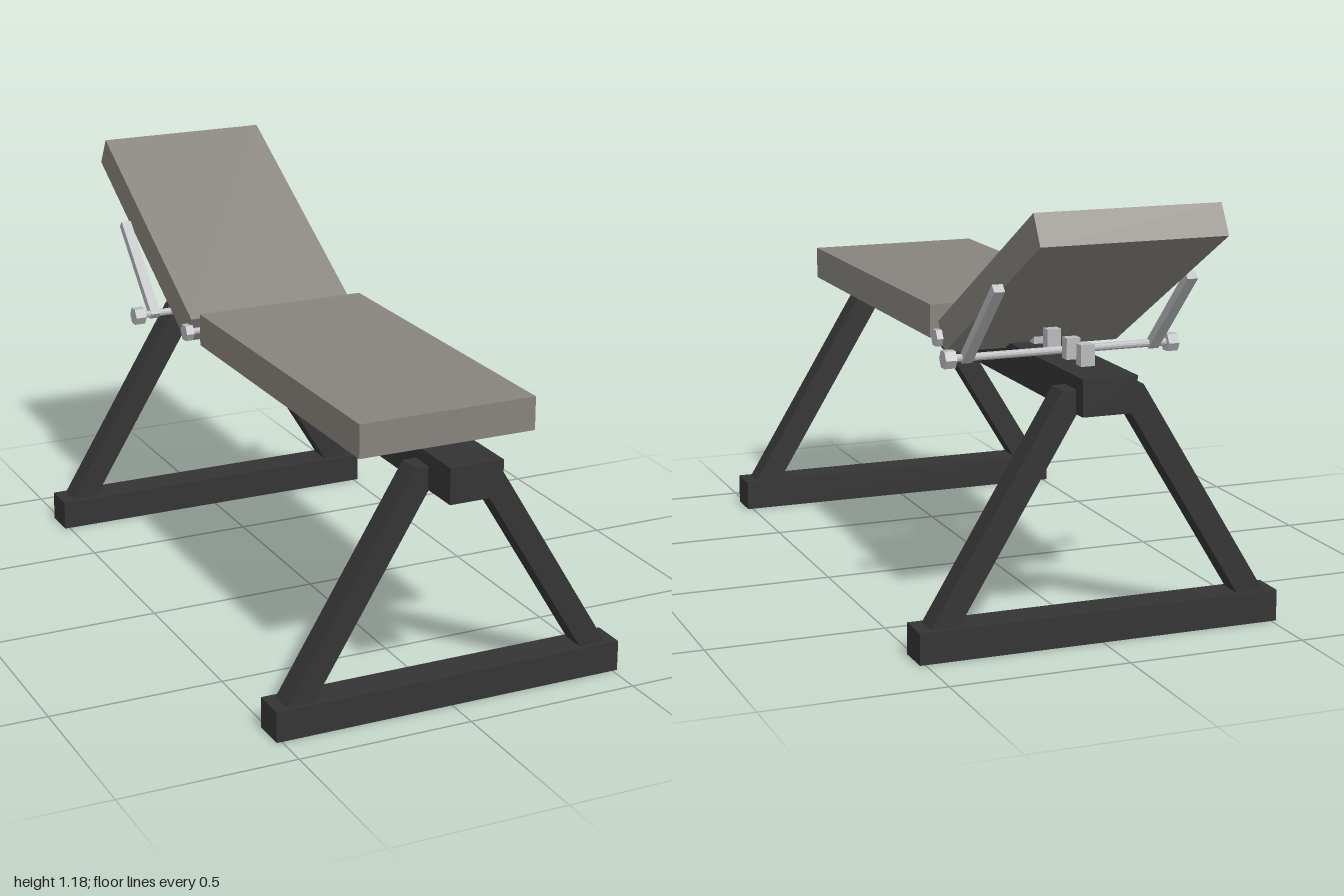
import * as THREE from 'three';

export function createModel() {
  const model = new THREE.Group();
  model.name = 'adjustableBench';

  const mat = (name, color) => {
    const m = new THREE.MeshStandardMaterial({ color });
    m.name = name;
    return m;
  };
  const frame = mat('blackFrame', 0x343434);
  const padding = mat('greyPadding', 0x87837d);
  const metal = mat('lightMetal', 0xb9babc);
  metal.flatShading = true;

  const add = (name, geometry, material, x = 0, y = 0, z = 0) => {
    const mesh = new THREE.Mesh(geometry, material);
    mesh.name = name;
    mesh.position.set(x, y, z);
    model.add(mesh);
    return mesh;
  };
  const box = (name, material, w, h, d, x, y, z) =>
    add(name, new THREE.BoxGeometry(w, h, d), material, x, y, z);
  // Cylinder lying along x
  const bar = (name, radius, length, sides, x, y, z) =>
    add(name, new THREE.CylinderGeometry(radius, radius, length, sides).rotateZ(Math.PI / 2), metal, x, y, z);

  // Main beam
  box('mainBeam', frame, 0.154, 0.1, 1.855, 0, 0.675, 0.0725);

  // Two A-shaped stands: foot bar and a mirrored pair of slanted legs
  const legDepth = 0.07;
  for (const [end, z] of [['front', 0.845], ['rear', -0.775]]) {
    box(end + 'Foot', frame, 1.03, 0.087, 0.1, 0, 0.0435, z);
    for (const side of [1, -1]) {
      const shape = new THREE.Shape(
        [[0.405, 0.08], [0.484, 0.08], [0.115, 0.69], [0.074, 0.69], [0.074, 0.625]]
          .map(([x, y]) => new THREE.Vector2(side * x, y)));
      const leg = new THREE.ExtrudeGeometry(shape, { depth: legDepth, bevelEnabled: false });
      add(end + (side > 0 ? 'LeftLeg' : 'RightLeg'), leg, frame, 0, 0, z - legDepth / 2);
    }
  }

  // Seat and tilted backrest
  box('seat', padding, 0.516, 0.094, 1.05, 0, 0.773, 0.32);
  const backrest = box('backrest', padding, 0.516, 0.092, 0.79, 0, 0.943, -0.636);
  backrest.rotation.x = Math.PI / 6;

  // Hinge and adjustment rods
  bar('hingeRod', 0.01, 0.54, 12, 0, 0.743, -0.287);
  bar('adjustmentRod', 0.011, 0.64, 12, 0, 0.735, -0.53);

  // Hinge caps, knobs and support arms on both sides
  const lower = new THREE.Vector2(-0.523, 0.728);
  const upper = new THREE.Vector2(-0.76, 0.96);
  const span = upper.clone().sub(lower);
  const middle = lower.clone().add(upper).multiplyScalar(0.5);
  for (const side of [1, -1]) {
    const prefix = side > 0 ? 'left' : 'right';
    bar(prefix + 'HingeCap', 0.026, 0.024, 6, side * 0.264, 0.743, -0.287);
    bar(prefix + 'Knob', 0.027, 0.032, 6, side * 0.325, 0.734, -0.53);
    const arm = box(prefix + 'SupportArm', metal, 0.03, 0.025, span.length(), side * 0.273, middle.y, middle.x);
    arm.rotation.x = Math.atan2(span.y, -span.x);
  }

  // Stops along the beam that hold the adjustment rod
  for (const z of [-0.37, -0.465, -0.598, -0.694]) {
    box('rodStop', metal, 0.04, 0.06, 0.032, 0, 0.753, z);
  }

  return model;
}
